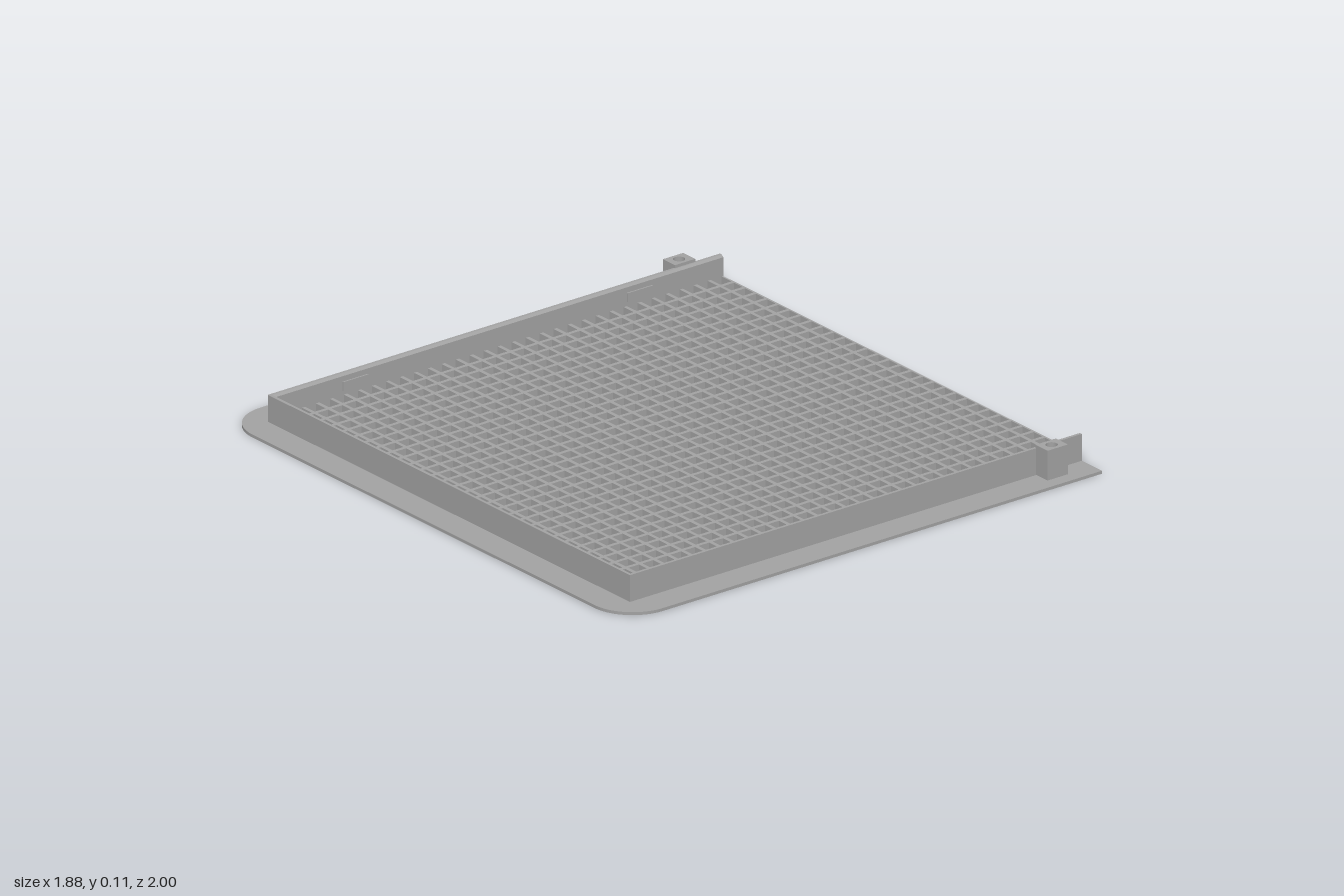
import * as THREE from 'three';

const grey = new THREE.MeshStandardMaterial({ color: 0xa2a2a2 });
grey.name = 'grey plastic';

// Main dimensions
const END = 0.94, OUT_X = -0.84, IN_X = -0.823, OUT_Z = 0.9, IN_Z = 0.883;
const WALL_H = 0.1, FLANGE_H = 0.01, MESH_H = 0.03, CELLS = 32, BAR = 0.013;

export function createModel() {
  const model = new THREE.Group();
  model.name = 'drainTray';

  const add = (name, geometry, parent = model) => {
    const mesh = new THREE.Mesh(geometry, grey);
    mesh.name = name;
    parent.add(mesh);
    return mesh;
  };
  const box = (name, x0, x1, y0, y1, z0, z1, parent) => {
    const mesh = add(name, new THREE.BoxGeometry(x1 - x0, y1 - y0, z1 - z0), parent);
    mesh.position.set((x0 + x1) / 2, (y0 + y1) / 2, (z0 + z1) / 2);
    return mesh;
  };
  // Extrude a plan outline (x, -z) upwards
  const plan = (shape, height) => new THREE.ExtrudeGeometry(shape, {
    depth: height, bevelEnabled: false, curveSegments: 16,
  }).rotateX(-Math.PI / 2);

  // U-shaped flange, rounded at the closed end
  const r = 0.15;
  const flange = new THREE.Shape();
  flange.moveTo(END, -1);
  flange.lineTo(END, -IN_Z);
  flange.lineTo(IN_X, -IN_Z);
  flange.lineTo(IN_X, IN_Z);
  flange.lineTo(END, IN_Z);
  flange.lineTo(END, 1);
  flange.lineTo(-END + r, 1);
  flange.absarc(-END + r, 1 - r, r, Math.PI / 2, Math.PI, false);
  flange.lineTo(-END, -1 + r);
  flange.absarc(-END + r, -1 + r, r, Math.PI, Math.PI * 1.5, false);
  add('flange', plan(flange, FLANGE_H));

  // Walls with a small chamfer on the inner top edge
  const wallGeometry = (thickness, length) => {
    const s = new THREE.Shape();
    s.moveTo(0, 0);
    s.lineTo(thickness, 0);
    s.lineTo(thickness, WALL_H);
    s.lineTo(0.007, WALL_H);
    s.lineTo(0, WALL_H - 0.007);
    s.closePath();
    return new THREE.ExtrudeGeometry(s, { depth: length, bevelEnabled: false });
  };
  const endWall = add('endWall', wallGeometry(IN_X - OUT_X, OUT_Z * 2));
  endWall.rotation.y = Math.PI;
  endWall.position.set(IN_X, 0, OUT_Z);

  for (const side of [1, -1]) {
    const wall = add('sideWall', wallGeometry(OUT_Z - IN_Z, END - OUT_X));
    wall.rotation.y = -side * Math.PI / 2;
    wall.position.set(side > 0 ? END : OUT_X, 0, side * IN_Z);

    // Shallow retaining ribs on the inner faces
    for (const x of [-0.51, 0.61]) {
      const rib = box('retainingRib', x - 0.05, x + 0.05, 0.045, 0.075, -0.003, 0.003);
      rib.position.z = side * (IN_Z - 0.002);
    }

    // Screw block with a blind vertical hole
    const block = new THREE.Shape();
    block.moveTo(0.76, -0.03);
    block.lineTo(0.84, -0.03);
    block.lineTo(0.84, 0.03);
    block.lineTo(0.76, 0.03);
    block.closePath();
    const hole = new THREE.Path();
    hole.absarc(0.8, 0, 0.019, 0, Math.PI * 2, true);
    block.holes.push(hole);
    const boss = add('screwBlock', plan(block, 0.11 - FLANGE_H));
    boss.position.set(0, FLANGE_H, side * 0.926);
  }

  // Square mesh floor
  const floor = new THREE.Group();
  floor.name = 'meshFloor';
  model.add(floor);
  const stepX = (END - IN_X) / CELLS, stepZ = IN_Z * 2 / CELLS;
  for (let i = 1; i < CELLS; i++) {
    const x = IN_X + i * stepX, z = -IN_Z + i * stepZ;
    box('crossBar', x - BAR / 2, x + BAR / 2, 0, MESH_H, -IN_Z, IN_Z, floor);
    box('longBar', IN_X, END, 0, MESH_H, z - BAR / 2, z + BAR / 2, floor);
  }
  box('openEndBar', END - BAR / 2, END, 0, MESH_H, -IN_Z, IN_Z, floor);

  return model;
}
